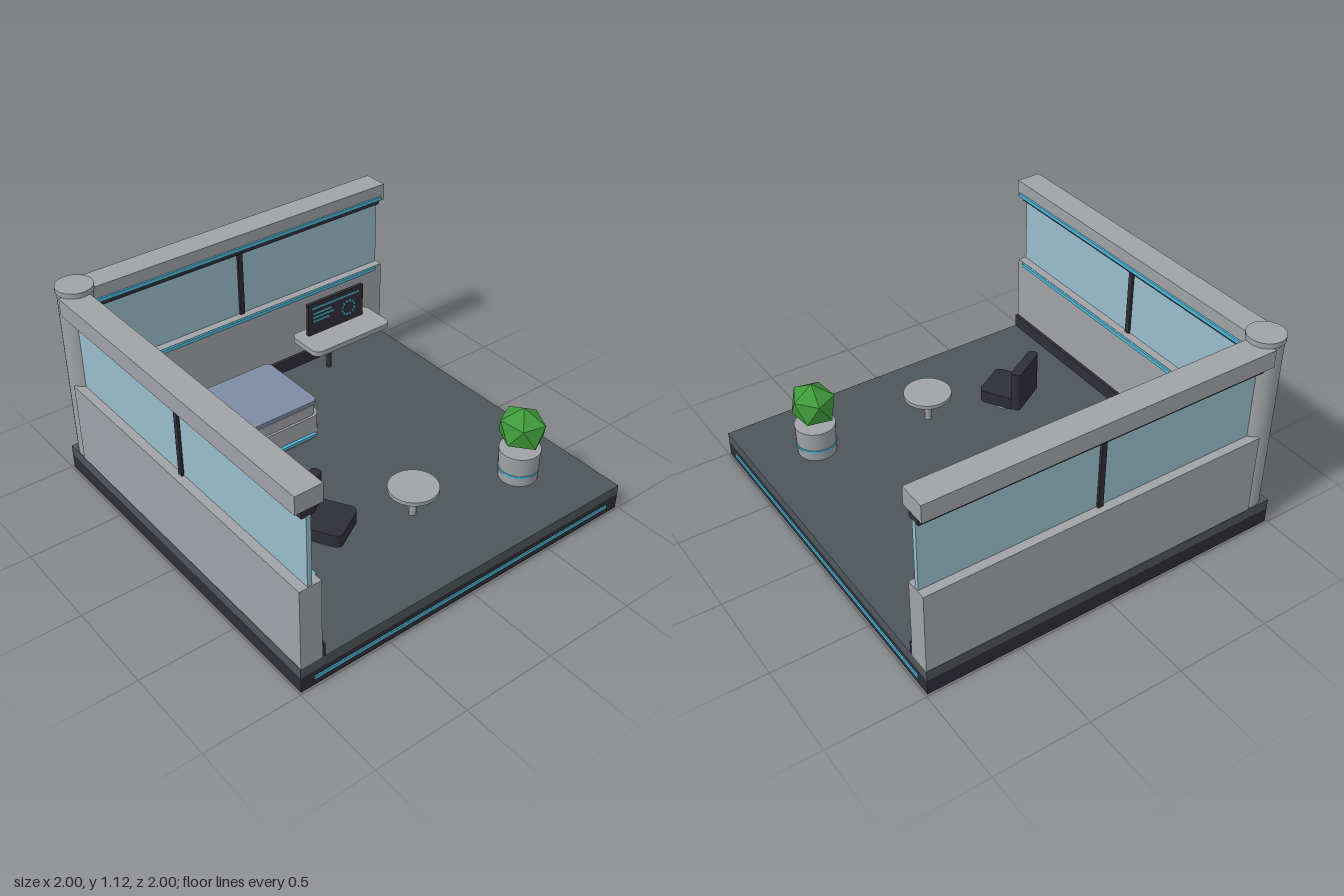
import * as THREE from 'three';

const mat = (name, color) => {
  const m = new THREE.MeshStandardMaterial({ color });
  m.name = name;
  return m;
};

export function createModel() {
  const panel = mat('panel grey', 0xa0a2a7);
  const floorMat = mat('floor slate', 0x4e565a);
  const dark = mat('dark trim', 0x2e2e37);
  const glass = mat('window blue', 0x98bccb);
  const glow = mat('cyan light', 0x4fb8d8);
  const fabric = mat('blanket blue', 0x7c8ca4);
  const leaf = mat('leaf green', 0x3f9a3a);

  const room = new THREE.Group();
  room.name = 'room';

  const add = (parent, name, geo, material, x = 0, y = 0, z = 0) => {
    const m = new THREE.Mesh(geo, material);
    m.name = name;
    m.position.set(x, y, z);
    parent.add(m);
    return m;
  };
  const group = (name, x = 0, y = 0, z = 0) => {
    const g = new THREE.Group();
    g.name = name;
    g.position.set(x, y, z);
    room.add(g);
    return g;
  };
  // box given by its limits on each axis
  const box = (parent, name, material, [x0, x1], [y0, y1], [z0, z1]) =>
    add(parent, name, new THREE.BoxGeometry(x1 - x0, y1 - y0, z1 - z0), material,
      (x0 + x1) / 2, (y0 + y1) / 2, (z0 + z1) / 2);
  // upright cylinder between two heights
  const post = (parent, name, material, r, y0, y1, x = 0, z = 0, rBottom = r) =>
    add(parent, name, new THREE.CylinderGeometry(r, rBottom, y1 - y0, 32), material, x, (y0 + y1) / 2, z);
  // slab with corners rounded in plan
  const slab = (parent, name, material, [x0, x1], [y0, y1], [z0, z1], r) => {
    const w = (x1 - x0) / 2 - r, d = (z1 - z0) / 2 - r;
    const s = new THREE.Shape();
    s.absarc(w, d, r, 0, Math.PI / 2);
    s.absarc(-w, d, r, Math.PI / 2, Math.PI);
    s.absarc(-w, -d, r, Math.PI, Math.PI * 1.5);
    s.absarc(w, -d, r, Math.PI * 1.5, Math.PI * 2);
    const geo = new THREE.ExtrudeGeometry(s, { depth: y1 - y0, bevelEnabled: false, curveSegments: 6 });
    geo.rotateX(-Math.PI / 2);
    return add(parent, name, geo, material, (x0 + x1) / 2, y0, (z0 + z1) / 2);
  };

  // platform
  const platform = group('platform');
  box(platform, 'base', dark, [-0.99, 0.99], [0, 0.085], [-0.99, 0.99]);
  box(platform, 'floor', floorMat, [-0.99, 0.99], [0.085, 0.14], [-0.99, 0.99]);
  box(platform, 'frontLight', glow, [-0.918, 0.914], [0.036, 0.055], [0.988, 0.996]);
  box(platform, 'sideLight', glow, [0.988, 0.996], [0.036, 0.055], [-0.918, 0.914]);

  // one wall along x; the left wall is the same wall turned and mirrored
  const buildWall = (name, place) => {
    const g = group(name);
    const part = (n, m, along, up, across) => place(g, n, m, along, up, across);
    part('lowerWall', panel, [-0.86, 0.99], [0.14, 0.584], [-0.988, -0.873]);
    part('baseboard', dark, [-0.86, 0.99], [0.14, 0.212], [-0.88, -0.856]);
    part('window', glass, [-0.86, 0.985], [0.584, 0.955], [-0.942, -0.918]);
    part('mullion', dark, [0.042, 0.07], [0.584, 0.955], [-0.955, -0.905]);
    part('windowHead', dark, [-0.86, 0.985], [0.953, 0.995], [-0.966, -0.895]);
    part('topBeam', panel, [-0.868, 0.99], [0.993, 1.086], [-1, -0.86]);
    part('upperLight', glow, [-0.81, 0.965], [1.0, 1.02], [-0.862, -0.85]);
    part('lowerLight', glow, [-0.81, 0.942], [0.562, 0.582], [-0.875, -0.862]);
  };
  buildWall('backWall', (g, n, m, along, up, across) => box(g, n, m, along, up, across));
  buildWall('leftWall', (g, n, m, along, up, across) => box(g, n, m, across, up, along));

  // corner column
  const column = group('cornerColumn', -0.898, 0, -0.898);
  post(column, 'shaft', panel, 0.088, 0.14, 1.09);
  post(column, 'cap', panel, 0.094, 1.088, 1.115);

  // bed
  const bed = group('bed');
  slab(bed, 'bedBase', panel, [-0.66, 0.09], [0.14, 0.28], [-0.733, -0.262], 0.06);
  slab(bed, 'mattress', panel, [-0.638, 0.078], [0.28, 0.34], [-0.712, -0.275], 0.055);
  slab(bed, 'blanket', fabric, [-0.366, 0.08], [0.335, 0.36], [-0.717, -0.28], 0.035);
  slab(bed, 'pillow', panel, [-0.617, -0.497], [0.34, 0.386], [-0.65, -0.345], 0.035);
  box(bed, 'bedLight', glow, [-0.617, 0.045], [0.162, 0.178], [-0.262, -0.244]);

  // desk with screen
  const desk = group('desk');
  slab(desk, 'desktop', panel, [0.26, 0.775], [0.412, 0.442], [-0.757, -0.524], 0.045);
  post(desk, 'deskLeg', dark, 0.014, 0.14, 0.43, 0.516, -0.75);
  box(desk, 'screen', dark, [0.33, 0.706], [0.442, 0.637], [-0.705, -0.686]);
  const lines = [[0.355, 0.676, 0.606], [0.36, 0.482, 0.573], [0.36, 0.5, 0.549], [0.36, 0.47, 0.525]];
  for (const [x0, x1, y] of lines)
    box(desk, 'screenLine', glow, [x0, x1], [y - 0.005, y + 0.005], [-0.687, -0.682]);
  for (let i = 0; i < 12; i++) {
    const a = (i + 0.5) / 12 * Math.PI * 2;
    add(desk, 'screenDot', new THREE.BoxGeometry(0.013, 0.013, 0.005), glow,
      0.602 + 0.042 * Math.cos(a), 0.528 + 0.042 * Math.sin(a), -0.6845);
  }

  // chair
  const chair = group('chair', -0.377, 0, 0.4);
  chair.rotation.y = Math.PI / 6;
  post(chair, 'chairPedestal', panel, 0.066, 0.14, 0.195);
  slab(chair, 'seat', dark, [-0.115, 0.115], [0.192, 0.262], [-0.105, 0.105], 0.035);
  slab(chair, 'backrest', dark, [-0.122, 0.122], [0.205, 0.43], [-0.137, -0.082], 0.02);

  // side table
  const table = group('sideTable', 0.045, 0, 0.515);
  post(table, 'tableStem', panel, 0.018, 0.14, 0.292);
  post(table, 'tableTop', panel, 0.127, 0.289, 0.31);

  // potted plant
  const plant = group('plant', 0.66, 0, 0.613);
  post(plant, 'pot', panel, 0.106, 0.14, 0.31, 0, 0, 0.1);
  post(plant, 'potLight', glow, 0.106, 0.191, 0.204);
  const crown = new THREE.IcosahedronGeometry(0.121, 0);
  crown.rotateX(-Math.atan((1 + Math.sqrt(5)) / 2));
  crown.rotateY(Math.PI - 0.2);
  crown.scale(1, 1, 1.14);
  crown.computeVertexNormals();
  leaf.flatShading = true;
  add(plant, 'foliage', crown, leaf, 0, 0.43, 0);

  return room;
}
